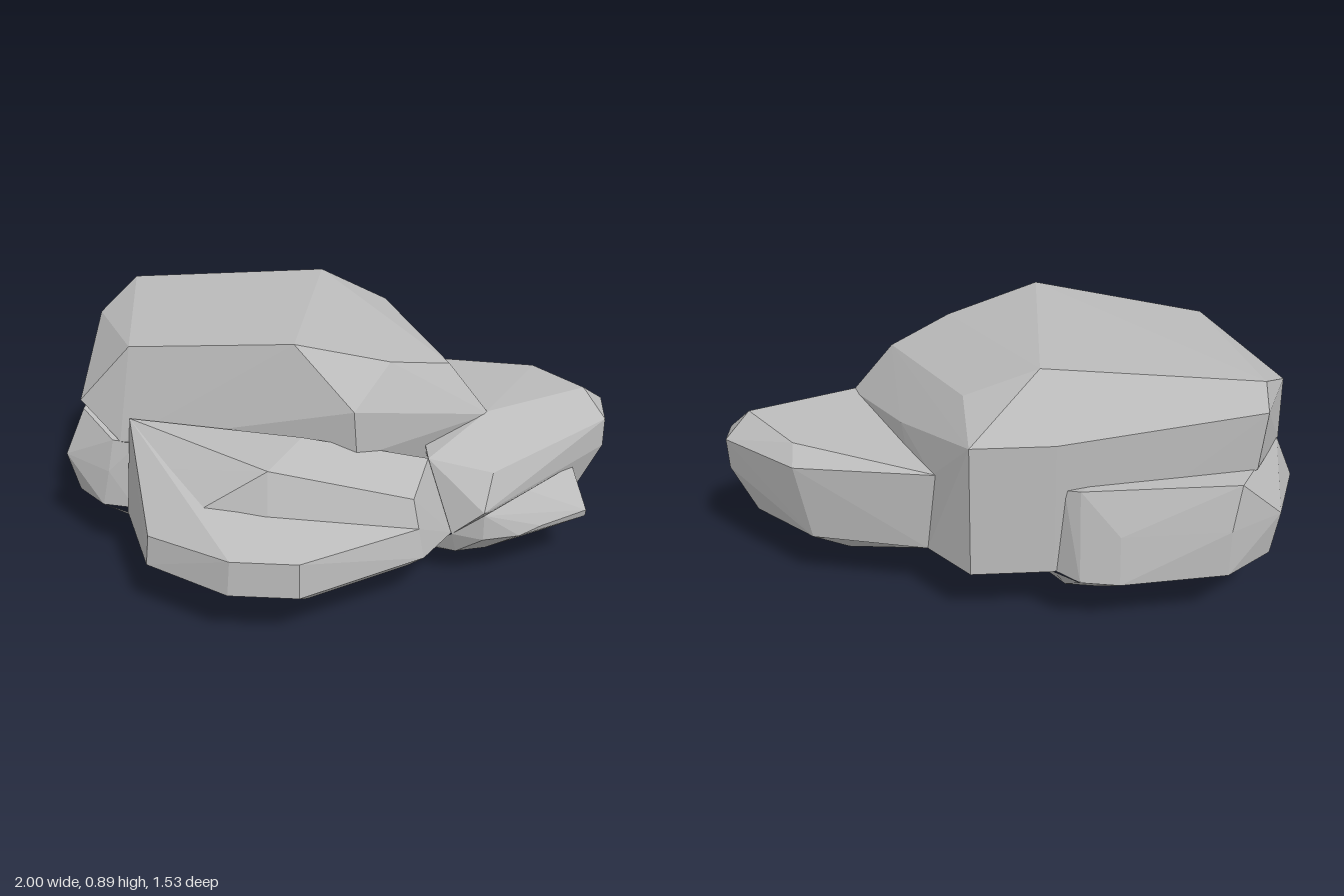
import * as THREE from 'three';
import { ConvexGeometry } from 'three/addons/geometries/ConvexGeometry.js';

const stone = new THREE.MeshStandardMaterial({ color: 0xbbbbbb });
stone.name = 'light grey stone';
stone.flatShading = true;

// A faceted boulder: the hull of its corner points
function boulder(name, corners) {
  const geometry = new ConvexGeometry(corners.map((c) => new THREE.Vector3(...c)));
  const mesh = new THREE.Mesh(geometry, stone);
  mesh.name = name;
  return mesh;
}

// Shallow underside: shared outline, inset ring (deeper at the notches), then a single low point
function underside(outline) {
  const top = outline.map(([x, z]) => [x, 0.21, z]);
  const low = outline.map(([x, z, inset = 0.83]) => [x * inset, 0.12, z * inset]);
  const tip = [-0.02, 0, -0.01];
  const positions = [];
  for (let i = 0; i < outline.length; i++) {
    const j = (i + 1) % outline.length;
    for (const p of [top[i], top[j], low[i], top[j], low[j], low[i], low[i], low[j], tip]) positions.push(...p);
  }
  const geometry = new THREE.BufferGeometry();
  geometry.setAttribute('position', new THREE.Float32BufferAttribute(positions, 3));
  geometry.computeVertexNormals();
  const mesh = new THREE.Mesh(geometry, stone);
  mesh.name = 'underside';
  return mesh;
}

export function createModel() {
  const group = new THREE.Group();
  group.name = 'rockPile';

  // Tall central rock
  group.add(boulder('mainRock', [
    [-0.13, 0.89, 0.24], [-0.08, 0.885, -0.5], [-0.82, 0.83, -0.53], [-0.82, 0.75, -0.6],
    [-0.73, 0.81, 0.11], [-0.93, 0.75, -0.35], [-0.93, 0.58, 0.08],
    [-0.93, 0.53, -0.36], [-0.77, 0.47, 0.19], [0.2, 0.8, 0.17], [0.41, 0.74, 0.04],
    [0.08, 0.68, 0.33], [0.09, 0.5, 0.32], [0.56, 0.55, 0.06], [0.17, 0.78, -0.47],
    [0.16, 0.69, -0.67], [-0.12, 0.69, -0.67], [0.28, 0.5, -0.5], [0.38, 0.6, -0.3],
    [-0.12, 0.21, -0.67], [0.16, 0.21, -0.67], [0.3, 0.21, -0.5], [0.3, 0.21, 0.1],
    [-0.8, 0.54, -0.6],
  ]));

  // Low rock wrapping the left and back
  group.add(boulder('backRock', [
    [-0.2, 0.53, -0.69], [-0.15, 0.52, -0.66], [-0.73, 0.54, -0.7], [-0.92, 0.54, -0.38],
    [-0.93, 0.53, 0.05], [-1, 0.36, -0.33], [-1, 0.36, 0.09], [-0.89, 0.38, -0.62],
    [-0.7, 0.38, -0.73], [-0.33, 0.38, -0.74], [-0.8, 0.47, 0.18], [-0.7, 0.47, 0.2],
    [-0.82, 0.35, 0.2], [-0.96, 0.21, 0.09], [-0.96, 0.21, -0.33], [-0.87, 0.21, -0.6],
    [-0.7, 0.21, -0.73], [-0.33, 0.21, -0.765], [-0.2, 0.21, -0.74], [-0.12, 0.21, -0.66],
    [-0.85, 0.21, 0.2], [-0.73, 0.21, 0.22],
  ]));

  // Wedge on the right
  group.add(boulder('sideRock', [
    [0.92, 0.575, -0.13], [0.75, 0.56, -0.35], [0.75, 0.5, -0.42], [0.26, 0.51, -0.52],
    [0.55, 0.56, 0.06], [1, 0.5, -0.2], [1, 0.48, -0.06], [1, 0.37, -0.06], [1, 0.37, -0.17],
    [0.34, 0.47, 0.26], [0.57, 0.43, 0.28], [0.54, 0.31, 0.36], [0.43, 0.21, 0.34],
    [0.91, 0.21, -0.2], [0.91, 0.21, -0.03], [0.7, 0.21, -0.4], [0.3, 0.21, -0.5],
  ]));

  // Small chip below the wedge
  group.add(boulder('smallRock', [
    [0.7, 0.345, 0.25], [0.88, 0.33, 0.03], [0.92, 0.24, 0.2], [0.54, 0.31, 0.375],
    [0.75, 0.23, 0.3], [0.43, 0.21, 0.34], [0.54, 0.21, 0.375], [0.67, 0.21, 0.34],
    [0.92, 0.21, 0.19], [0.91, 0.21, -0.1],
  ]));

  // Front rock: raised block on a wider ledge
  group.add(boulder('frontRock', [
    [-0.73, 0.565, 0.19], [-0.2, 0.555, 0.53], [-0.1, 0.58, 0.33], [0.29, 0.42, 0.46],
    [0.34, 0.46, 0.24], [-0.2, 0.41, 0.58], [0.31, 0.32, 0.49], [-0.66, 0.46, 0.36],
    [-0.6, 0.31, 0.57], [-0.75, 0.21, 0.25], [0.33, 0.21, 0.5], [0.43, 0.21, 0.33],
    [-0.62, 0.21, 0.59],
  ]));
  group.add(boulder('frontLedge', [
    [-0.73, 0.565, 0.19], [-0.66, 0.46, 0.36], [-0.2, 0.41, 0.575], [0.31, 0.32, 0.49],
    [-0.08, 0.34, 0.76], [-0.31, 0.34, 0.755], [-0.61, 0.32, 0.58], [-0.62, 0.21, 0.59],
    [-0.75, 0.21, 0.25], [-0.32, 0.21, 0.76], [-0.08, 0.21, 0.765], [0.33, 0.21, 0.5],
    [0, 0.21, 0.3],
  ]));

  group.add(underside([
    [-0.96, 0.09], [-0.96, -0.33], [-0.87, -0.6], [-0.7, -0.73], [-0.33, -0.765], [-0.2, -0.74],
    [-0.12, -0.67, 0.74], [0.16, -0.67, 0.78], [0.3, -0.5, 0.74], [0.7, -0.4], [0.91, -0.2],
    [0.91, 0], [0.92, 0.19], [0.67, 0.34], [0.54, 0.375], [0.43, 0.34, 0.78], [0.33, 0.5],
    [-0.08, 0.765], [-0.32, 0.76], [-0.62, 0.59], [-0.75, 0.25, 0.8], [-0.85, 0.2],
  ]));
  return group;
}
